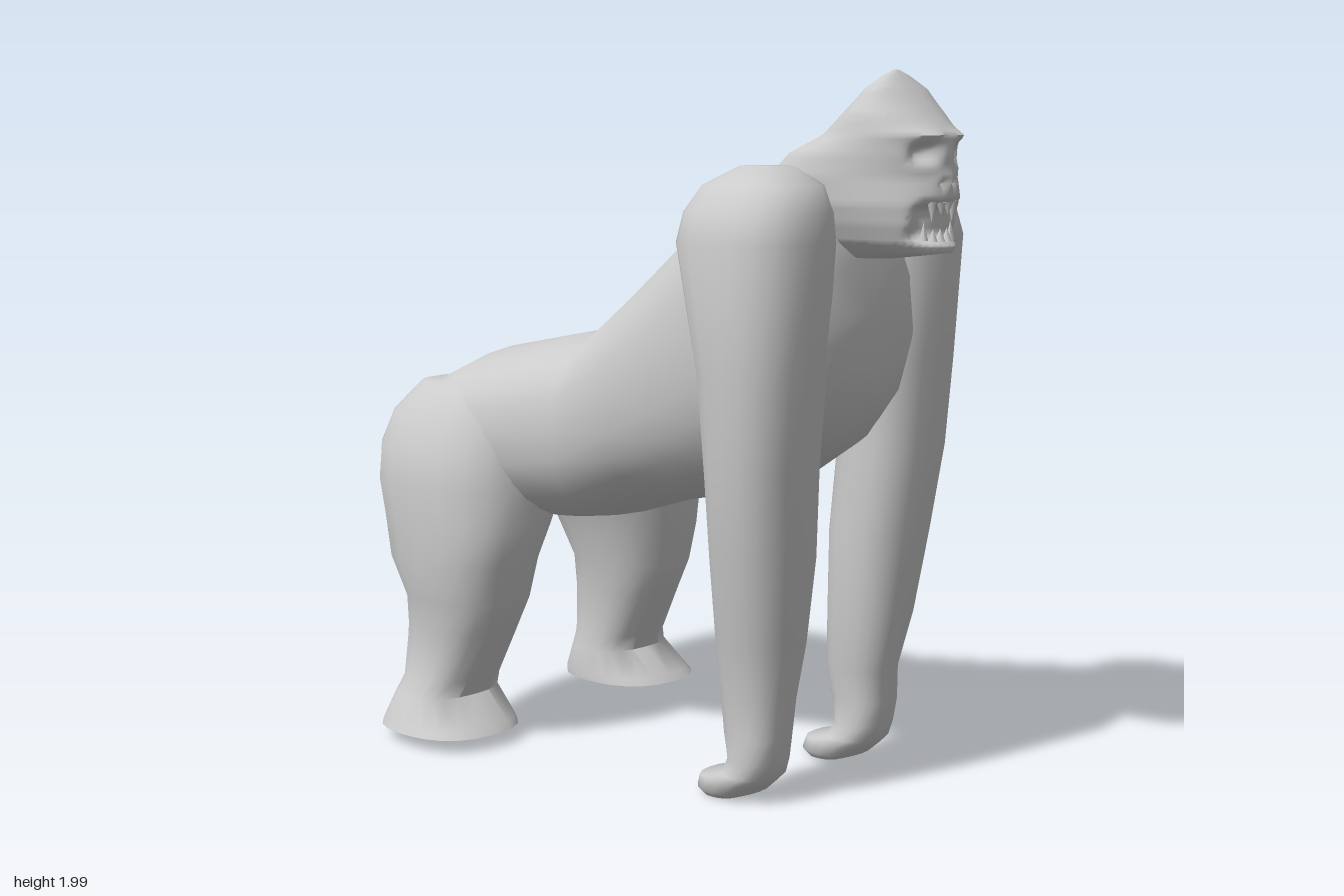
import * as THREE from 'three';
import { toCreasedNormals } from 'three/addons/utils/BufferGeometryUtils.js';

const material = new THREE.MeshStandardMaterial({ color: 0xcccccc });

// Loft of superellipse rings along y (rows ascending) or z (rows descending).
// Row: [position along axis, xMin, xMax, crossMin, crossMax]
function loft(name, axis, rows, { sides = 20, power = 2.2, steps = 1, deform } = {}) {
  const rings = [];
  rows.forEach((row, i) => {
    const next = rows[i + 1];
    if (!next) return rings.push(row);
    for (let s = 0; s < steps; s++) rings.push(row.map((v, k) => v + (next[k] - v) * s / steps));
  });
  const positions = [], index = [];
  const add = (t, x, c) => {
    const p = axis === 'y' ? new THREE.Vector3(x, t, c) : new THREE.Vector3(x, c, t);
    if (deform) deform(p);
    positions.push(p.x, p.y, p.z);
  };
  const curve = v => Math.sign(v) * Math.pow(Math.abs(v), 2 / power);
  for (const [t, x0, x1, c0, c1] of rings) {
    for (let j = 0; j < sides; j++) {
      const a = j / sides * Math.PI * 2;
      add(t, (x0 + x1) / 2 + curve(Math.cos(a)) * (x1 - x0) / 2,
        (c0 + c1) / 2 + curve(Math.sin(a)) * (c1 - c0) / 2);
    }
  }
  const last = rings.length - 1, centre = rings.length * sides;
  for (const [t, x0, x1, c0, c1] of [rings[0], rings[last]]) add(t, (x0 + x1) / 2, (c0 + c1) / 2);
  for (let j = 0; j < sides; j++) {
    const k = (j + 1) % sides;
    for (let i = 0; i < last; i++) {
      const a = i * sides + j, b = i * sides + k;
      index.push(a, a + sides, b, b, a + sides, b + sides);
    }
    index.push(centre, j, k, centre + 1, last * sides + k, last * sides + j);
  }
  const geometry = new THREE.BufferGeometry();
  geometry.setAttribute('position', new THREE.Float32BufferAttribute(positions, 3));
  geometry.setIndex(index);
  const mesh = new THREE.Mesh(toCreasedNormals(geometry, 1.15), material);
  mesh.name = name;
  return mesh;
}

const mirrorRows = (rows, side) =>
  side > 0 ? rows : rows.map(([t, x0, x1, c0, c1]) => [t, -x1, -x0, c0, c1]);

// Soft bump of height 1 around (0, 0)
const bump = (dx, dy, rx, ry, p = 2) =>
  Math.exp(-Math.pow(Math.abs(dx / rx), p) - Math.pow(Math.abs(dy / ry), p));

// Torso: z, half width, bottom, top
const torsoRows = [
  [0.66, 0.2, 1.2, 1.5], [0.63, 0.25, 1.08, 1.62], [0.55, 0.3, 0.97, 1.76],
  [0.38, 0.35, 0.86, 1.74], [0.3, 0.35, 0.835, 1.725], [0.17, 0.36, 0.8, 1.58],
  [0, 0.365, 0.76, 1.43], [-0.19, 0.385, 0.7, 1.27], [-0.33, 0.42, 0.68, 1.245],
  [-0.6, 0.47, 0.68, 1.19], [-0.83, 0.45, 0.72, 1.08], [-0.9, 0.39, 0.79, 1.0],
  [-0.92, 0.3, 0.84, 0.97],
].map(([z, w, y0, y1]) => [z, -w, w, y0, y1]);

// Arm from knuckles to shoulder, the fingers curled backward
const armRows = [
  [0.01, 0.16, 0.31, 0.3, 0.42], [0.03, 0.14, 0.33, 0.28, 0.47], [0.065, 0.14, 0.335, 0.29, 0.51],
  [0.085, 0.145, 0.33, 0.37, 0.53], [0.13, 0.15, 0.33, 0.395, 0.545], [0.2, 0.155, 0.33, 0.38, 0.56],
  [0.3, 0.14, 0.33, 0.365, 0.565], [0.46, 0.13, 0.365, 0.365, 0.6], [0.7, 0.115, 0.41, 0.37, 0.63],
  [0.95, 0.13, 0.45, 0.38, 0.655], [1.2, 0.12, 0.465, 0.36, 0.675], [1.55, 0.1, 0.485, 0.29, 0.7],
  [1.63, 0.1, 0.46, 0.3, 0.685], [1.7, 0.12, 0.41, 0.34, 0.655], [1.75, 0.18, 0.32, 0.43, 0.56],
];

// Hind leg from the foot sole to the hip
const legRows = [
  [0.05, 0.21, 0.585, -0.83, -0.42], [0.07, 0.21, 0.575, -0.825, -0.44], [0.15, 0.22, 0.54, -0.785, -0.53],
  [0.2, 0.23, 0.51, -0.775, -0.51], [0.35, 0.22, 0.505, -0.77, -0.43], [0.45, 0.2, 0.52, -0.77, -0.385],
  [0.57, 0.17, 0.545, -0.83, -0.36], [0.68, 0.13, 0.54, -0.87, -0.33], [0.8, 0.06, 0.55, -0.9, -0.33],
  [0.9, 0.05, 0.53, -0.91, -0.34], [1.0, 0.05, 0.49, -0.88, -0.37], [1.09, 0.1, 0.42, -0.79, -0.43],
];

// Head and neck: y, half width, back, front
const headRows = [
  [1.505, 0.07, 0.55, 0.74], [1.525, 0.1, 0.5, 0.905], [1.55, 0.13, 0.45, 0.915],
  [1.6, 0.155, 0.42, 0.917], [1.65, 0.172, 0.38, 0.915], [1.72, 0.178, 0.34, 0.9],
  [1.78, 0.175, 0.41, 0.905], [1.83, 0.165, 0.53, 0.9], [1.88, 0.155, 0.595, 0.85],
  [1.95, 0.115, 0.675, 0.785], [1.985, 0.05, 0.71, 0.75], [2.0, 0.008, 0.727, 0.733],
].map(([y, w, z0, z1]) => [y, -w, w, z0, z1]);

// Eye sockets, brow, nose and open mouth pressed into the face
function shapeFace(p) {
  const front = THREE.MathUtils.smoothstep(p.z, 0.76, 0.84);
  const ax = Math.abs(p.x);
  let d = -0.035 * bump(ax - 0.07, p.y - 1.785, 0.032, 0.024, 3);
  d += 0.014 * bump(ax - 0.07, p.y - 1.83, 0.05, 0.014);
  d += 0.012 * bump(p.x, p.y - 1.715, 0.045, 0.022);
  d -= 0.018 * bump(ax - 0.022, p.y - 1.705, 0.011, 0.01);
  d -= 0.055 * bump(p.x, p.y - 1.605, 0.092, 0.05, 6);
  p.z += front * d;
}

function tooth(x, y, z, radius, height, up) {
  const cone = new THREE.Mesh(new THREE.ConeGeometry(radius, height, 8), material);
  cone.position.set(x, y, z);
  if (!up) cone.rotation.x = Math.PI;
  cone.name = up ? 'lowerTooth' : 'upperTooth';
  return cone;
}

export function createModel() {
  const model = new THREE.Group();
  model.name = 'gorilla';

  model.add(loft('torso', 'z', torsoRows, {
    sides: 28, power: 2.5,
    // crease between the buttocks
    deform: p => { if (p.z < -0.8) p.z += 0.025 * bump(p.x, 0, 0.09, 1); },
  }));

  for (const side of [1, -1]) {
    const label = side > 0 ? 'left' : 'right';
    model.add(loft(label + 'Arm', 'y', mirrorRows(armRows, side), { power: 2.4 }));
    model.add(loft(label + 'HindLeg', 'y', mirrorRows(legRows, side), { power: 2.4 }));
  }

  const head = new THREE.Group();
  head.name = 'head';
  head.add(loft('skull', 'y', headRows, { sides: 96, power: 2.1, steps: 5, deform: shapeFace }));
  // Canines and the smaller teeth between them
  for (const side of [1, -1]) {
    head.add(tooth(side * 0.045, 1.632, 0.882, 0.013, 0.055, false));
    head.add(tooth(side * 0.06, 1.583, 0.868, 0.012, 0.05, true));
    head.add(tooth(side * 0.015, 1.64, 0.89, 0.014, 0.035, false));
    head.add(tooth(side * 0.015, 1.573, 0.888, 0.014, 0.035, true));
    head.add(tooth(side * 0.038, 1.573, 0.882, 0.012, 0.035, true));
  }
  model.add(head);
  return model;
}
